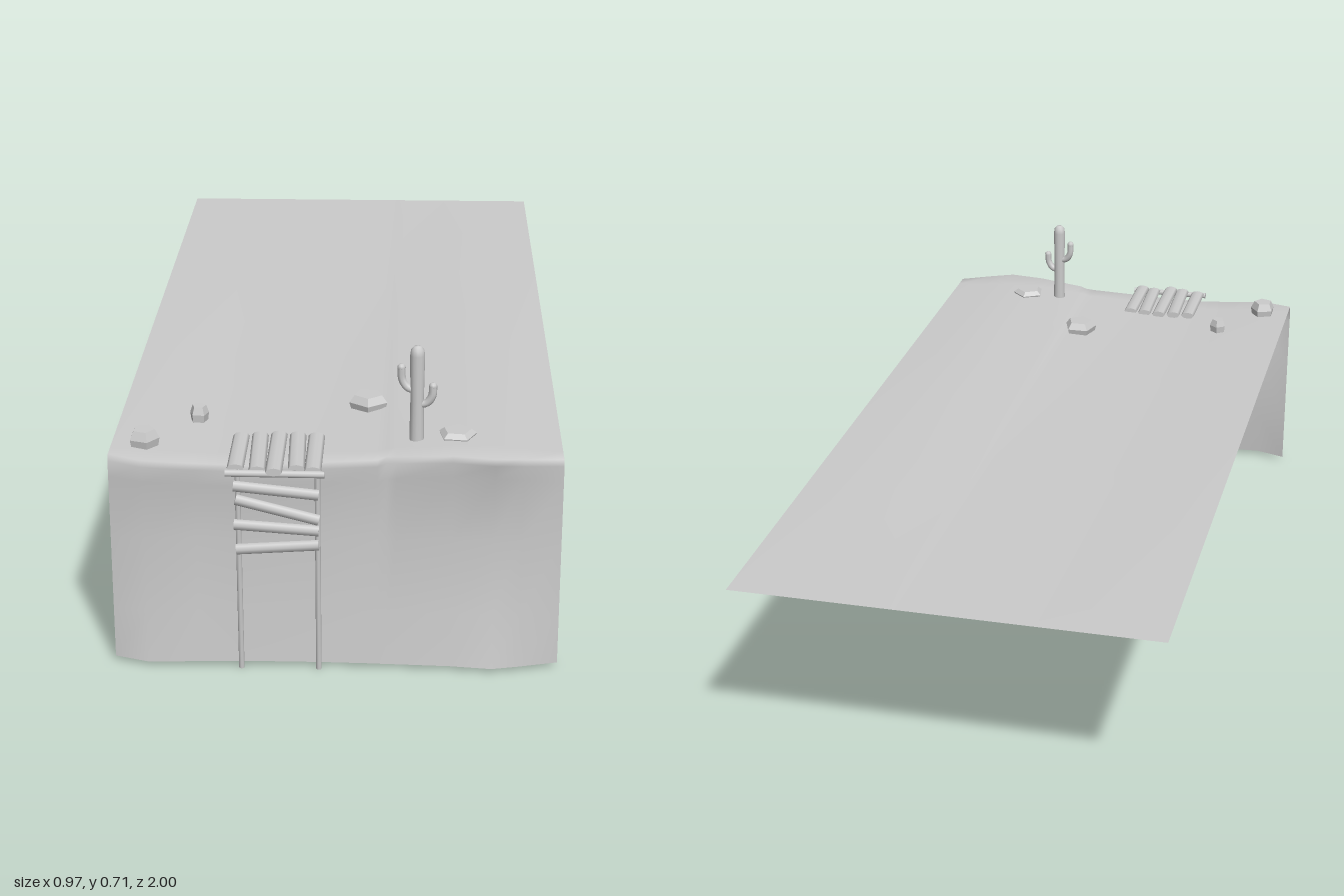
import * as THREE from 'three';

const V = (x, y, z) => new THREE.Vector3(x, y, z);
const grey = new THREE.MeshStandardMaterial({ color: 0xcccccc });
const flatGrey = new THREE.MeshStandardMaterial({ color: 0xcccccc, flatShading: true });
const sheetGrey = new THREE.MeshStandardMaterial({ color: 0xcccccc, side: THREE.DoubleSide });

function add(parent, name, geometry, material = grey) {
  const mesh = new THREE.Mesh(geometry, material);
  mesh.name = name;
  parent.add(mesh);
  return mesh;
}

// Round timber between two points, squashed across its depth
function pole(parent, name, a, b, radius, squash = 1) {
  const geometry = new THREE.CylinderGeometry(radius, radius, a.distanceTo(b), 8);
  geometry.scale(1, 1, squash);
  const mesh = add(parent, name, geometry);
  mesh.position.copy(a).lerp(b, 0.5);
  mesh.quaternion.setFromUnitVectors(V(0, 1, 0), b.clone().sub(a).normalize());
  return mesh;
}

// Plateau and cliff face as one folded sheet
function cliffGeometry() {
  // x, height of the rim, z of the lip, z halfway down, z at the foot
  const columns = [
    [-0.485, 0.49, 0.93, 0.93, 0.93],
    [-0.41, 0.487, 0.957, 0.937, 0.955],
    [-0.3, 0.48, 0.952, 0.93, 0.95],
    [-0.2, 0.475, 0.947, 0.93, 0.945],
    [-0.03, 0.482, 0.942, 0.925, 0.945],
    [0.09, 0.487, 0.938, 0.925, 0.948],
    [0.11, 0.492, 0.93, 0.925, 0.95],
    [0.13, 0.495, 0.938, 0.925, 0.95],
    [0.25, 0.504, 0.952, 0.928, 0.955],
    [0.34, 0.503, 0.965, 0.922, 0.965],
    [0.4, 0.498, 0.952, 0.925, 0.952],
    [0.485, 0.49, 0.93, 0.93, 0.93],
  ];
  const positions = [], index = [];
  const rows = 11;
  for (const [x, rim, lip, mid, foot] of columns) {
    const top = (z) => [x, THREE.MathUtils.mapLinear(z, -1, 0.93, 0.49, rim), z];
    const profile = [
      top(-1), top(-0.3), top(0.3), top(0.7), top(0.88), top(lip - 0.008),
      [x, rim - 0.012, lip], [x, rim - 0.05, (lip + mid) / 2],
      [x, 0.3, mid], [x, 0.13, (mid + foot) / 2], [x, 0.01, foot],
    ];
    positions.push(...profile.flat());
  }
  for (let c = 0; c < columns.length - 1; c++) {
    for (let r = 0; r < rows - 1; r++) {
      const a = c * rows + r, b = a + rows;
      index.push(a, a + 1, b, b, a + 1, b + 1);
    }
  }
  const geometry = new THREE.BufferGeometry();
  geometry.setAttribute('position', new THREE.Float32BufferAttribute(positions, 3));
  geometry.setIndex(index);
  geometry.computeVertexNormals();
  return geometry;
}

// Wooden landing with posts and crooked cross boards
function createScaffold() {
  const scaffold = new THREE.Group();
  scaffold.name = 'scaffold';
  const starts = [0.8, 0.795, 0.79, 0.793, 0.797];
  starts.forEach((z, i) => {
    const x = -0.209 + i * 0.041;
    pole(scaffold, 'deckPlank', V(x, 0.485, z), V(x + 0.006 * (i % 2), 0.484, 0.975 + 0.01 * (i % 3)), 0.018, 0.5);
  });
  pole(scaffold, 'deckRail', V(-0.23, 0.477, 0.985), V(-0.02, 0.476, 0.985), 0.008);
  for (const x of [-0.205, -0.036]) pole(scaffold, 'post', V(x, 0, 0.955), V(x, 0.482, 0.973), 0.006);
  const boards = [[0.449, 0.43], [0.418, 0.372], [0.36, 0.347], [0.302, 0.314]];
  boards.forEach(([left, right], i) => {
    pole(scaffold, 'crossBoard', V(-0.213 + 0.004 * (i % 2), left, 0.988), V(-0.033, right, 0.988), 0.0125, 0.7);
  });
  return scaffold;
}

// Rounded trunk with two upturned arms
function createCactus() {
  const cactus = new THREE.Group();
  cactus.name = 'cactus';
  cactus.position.set(0.172, 0.49, 0.835);
  const trunk = [V(0.016, 0, 0), V(0.0145, 0.1, 0), V(0.016, 0.2, 0), V(0.014, 0.213, 0), V(0.008, 0.22, 0), V(0, 0.222, 0)];
  add(cactus, 'trunk', new THREE.LatheGeometry(trunk.map((p) => new THREE.Vector2(p.x, p.y)), 12));
  const arms = [[-1, 0.124, 0.169, -0.007], [1, 0.092, 0.131, 0.005]];
  for (const [side, low, high, z] of arms) {
    const path = new THREE.CatmullRomCurve3([
      V(0, low - 0.004, 0), V(side * 0.02, low, z * 0.6),
      V(side * 0.032, low + 0.017, z), V(side * 0.034, high, z),
    ]);
    add(cactus, 'arm', new THREE.TubeGeometry(path, 12, 0.009, 8));
    add(cactus, 'armTip', new THREE.SphereGeometry(0.0092, 8, 6)).position.set(side * 0.034, high, z);
  }
  return cactus;
}

// Faceted stone with a bevelled top
function createRock([x, z, base, height, radius, sides, turn]) {
  const profile = [[radius * 0.9, 0], [radius, height * 0.5], [radius * 0.72, height], [0, height]];
  const geometry = new THREE.LatheGeometry(profile.map(([r, y]) => new THREE.Vector2(r, y)), sides);
  const rock = new THREE.Mesh(geometry, flatGrey);
  rock.name = 'rock';
  rock.position.set(x, base, z);
  rock.rotation.y = turn;
  return rock;
}

export function createModel() {
  const model = new THREE.Group();
  model.name = 'cliff';
  add(model, 'ground', cliffGeometry(), sheetGrey);
  model.add(createScaffold(), createCactus());
  // x, z, base, height, radius, sides, turn
  const rocks = [
    [-0.415, 0.86, 0.484, 0.039, 0.034, 5, 0.3],
    [-0.31, 0.712, 0.484, 0.035, 0.022, 5, 0.6],
    [0.063, 0.622, 0.484, 0.032, 0.045, 5, 0],
    [0.26, 0.825, 0.496, 0.02, 0.043, 5, 0.5],
  ];
  for (const rock of rocks) model.add(createRock(rock));
  return model;
}
